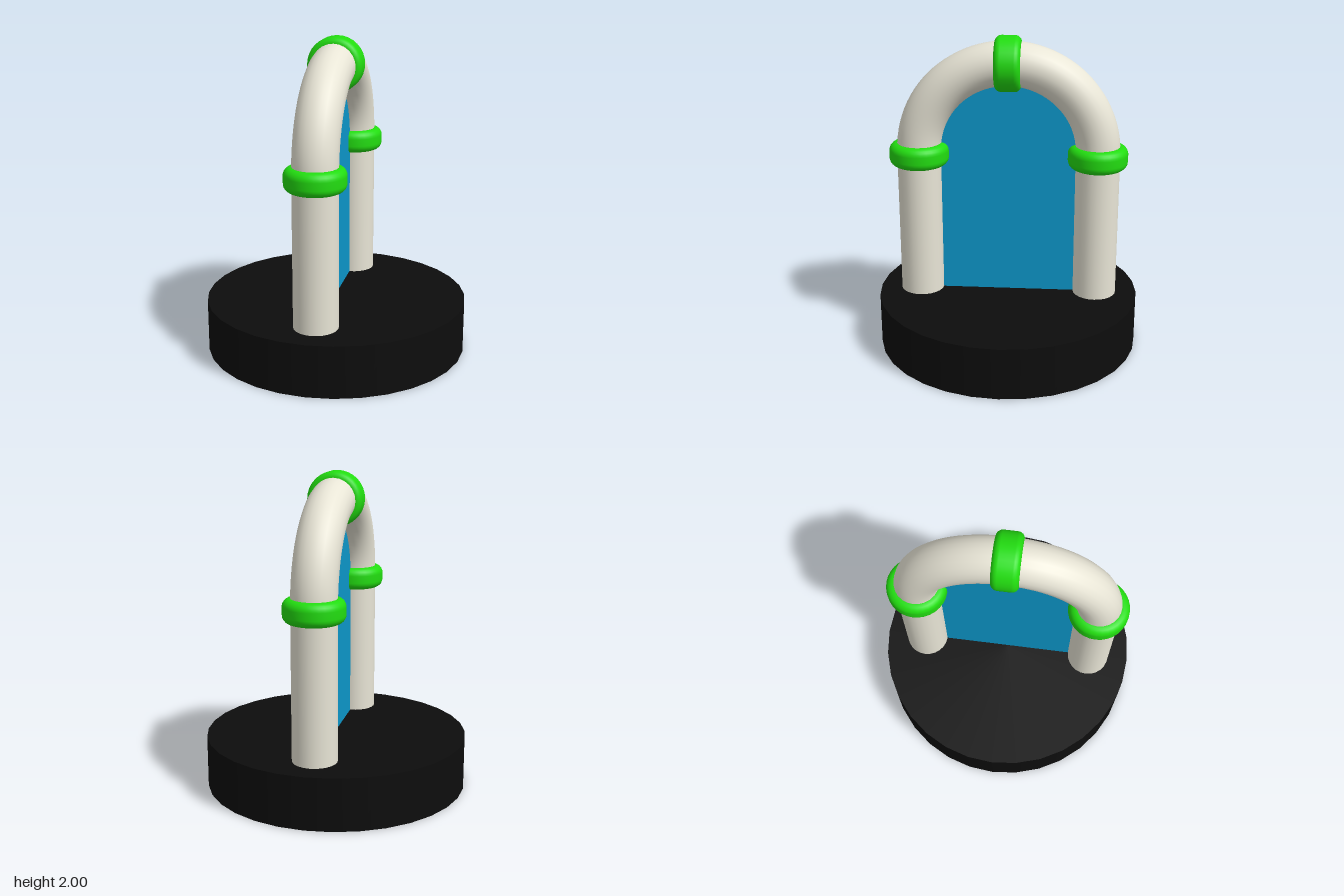
import * as THREE from 'three';

const BASE_TOP = 0.33, SPRING_Y = 1.27, ARCH_R = 0.56, PIPE_R = 0.138;

function addMesh(group, name, geometry, material, x = 0, y = 0, z = 0) {
  const mesh = new THREE.Mesh(geometry, material);
  mesh.name = name;
  mesh.position.set(x, y, z);
  group.add(mesh);
  return mesh;
}

// Collar with a soft, rounded rectangular section, turned around y
function collarGeometry(outer, height, round) {
  const h = height / 2, inner = PIPE_R - 0.01;
  const points = [new THREE.Vector2(inner, -h)];
  for (const [cy, start] of [[-h + round, -Math.PI / 2], [h - round, 0]]) {
    for (let i = 0; i <= 6; i++) {
      const a = start + (i / 6) * Math.PI / 2;
      points.push(new THREE.Vector2(outer - round + round * Math.cos(a), cy + round * Math.sin(a)));
    }
  }
  points.push(new THREE.Vector2(inner, h));
  return new THREE.LatheGeometry(points, 32);
}

export function createModel() {
  const group = new THREE.Group();
  const black = new THREE.MeshStandardMaterial({ color: 0x0d0d0d });
  const cream = new THREE.MeshStandardMaterial({ color: 0xe8e5d6 });
  const green = new THREE.MeshStandardMaterial({ color: 0x22dd10 });
  const blue = new THREE.MeshStandardMaterial({ color: 0x0d98cb, side: THREE.DoubleSide });

  // Round plinth
  addMesh(group, 'base', new THREE.CylinderGeometry(0.832, 0.832, BASE_TOP, 32), black, 0, BASE_TOP / 2, 0);

  // Upright pipes with their collars
  const postBottom = BASE_TOP - 0.02;
  const postHeight = SPRING_Y - postBottom;
  const postGeometry = new THREE.CylinderGeometry(PIPE_R, PIPE_R, postHeight, 24, 1, true);
  const sideCollar = collarGeometry(0.187, 0.146, 0.05);
  for (const [side, s] of [['front', 1], ['back', -1]]) {
    addMesh(group, side + 'Post', postGeometry, cream, 0, postBottom + postHeight / 2, s * ARCH_R);
    addMesh(group, side + 'Collar', sideCollar, green, 0, 1.248, s * ARCH_R);
  }

  // Half-circle pipe joining the posts
  const arch = addMesh(group, 'arch', new THREE.TorusGeometry(ARCH_R, PIPE_R, 24, 48, Math.PI), cream, 0, SPRING_Y, 0);
  arch.rotation.y = Math.PI / 2;

  // Collar at the crown
  const top = addMesh(group, 'topCollar', collarGeometry(0.172, 0.163, 0.04), green, 0, 1.828, 0);
  top.rotation.x = Math.PI / 2;

  // Thin panel filling the opening, its edge hidden inside the pipe
  const w = ARCH_R - 0.06;
  const shape = new THREE.Shape();
  shape.moveTo(-w, postBottom);
  shape.lineTo(w, postBottom);
  shape.lineTo(w, SPRING_Y);
  shape.absarc(0, SPRING_Y, w, 0, Math.PI, false);
  shape.closePath();
  const panel = addMesh(group, 'panel', new THREE.ShapeGeometry(shape, 32), blue);
  panel.rotation.y = Math.PI / 2;

  return group;
}
